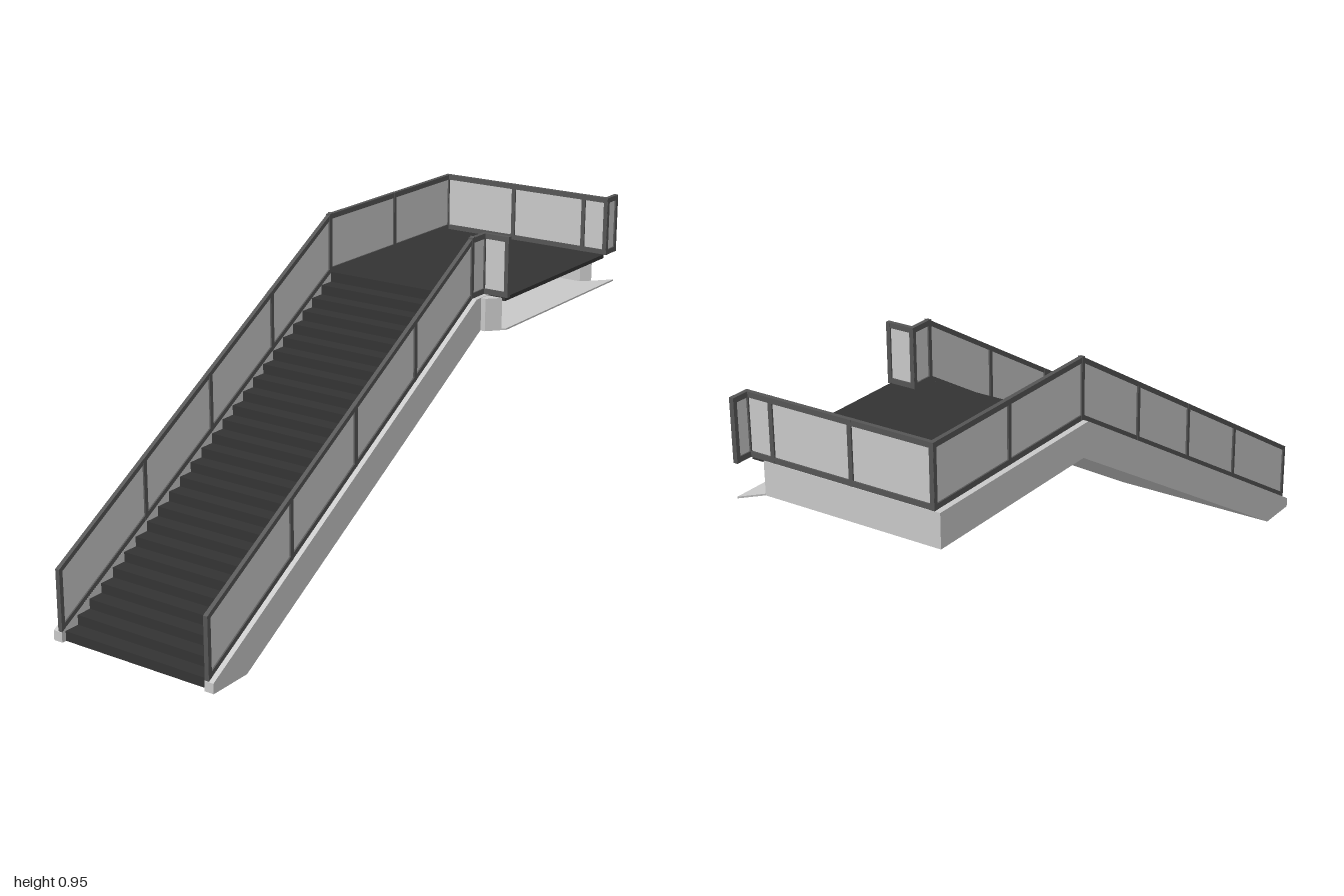
import * as THREE from 'three';

const mat = (name, color) => new THREE.MeshStandardMaterial({ name, color });

export function createModel() {
  const pale = mat('paleGrey', 0xc8c8c8);
  const frame = mat('frameGrey', 0x555555);
  const dark = mat('darkTread', 0x333333);
  const model = new THREE.Group();
  model.name = 'staircase';

  const add = (name, geometry, material, parent = model) => {
    const mesh = new THREE.Mesh(geometry, material);
    mesh.name = name;
    parent.add(mesh);
    return mesh;
  };
  const toShape = (pts) => new THREE.Shape(pts.map(([a, b]) => new THREE.Vector2(a, b)));

  // side profile (z, y) extruded from x0 to x1
  const across = (pts, x0, x1) =>
    new THREE.ExtrudeGeometry(toShape(pts), { depth: x1 - x0, bevelEnabled: false })
      .rotateY(-Math.PI / 2).translate(x1, 0, 0);

  // plan outline (x, z) extruded downwards from y
  const plate = (pts, y, t) =>
    new THREE.ExtrudeGeometry(toShape(pts), { depth: t, bevelEnabled: false })
      .rotateX(Math.PI / 2).translate(0, y, 0);

  // upright bar from a to b, sheared to follow the slope, from h0 to h1 above the line
  const bar = (a, b, h0, h1, width) => {
    const dx = b.x - a.x, dz = b.z - a.z, len = Math.hypot(dx, dz);
    const g = new THREE.BoxGeometry(len, h1 - h0, width);
    const p = g.attributes.position, slope = (b.y - a.y) / len;
    for (let i = 0; i < p.count; i++) p.setY(i, p.getY(i) + slope * p.getX(i));
    g.computeVertexNormals();
    return g.rotateY(Math.atan2(-dz, dx))
      .translate((a.x + b.x) / 2, (a.y + b.y) / 2 + (h0 + h1) / 2, (a.z + b.z) / 2);
  };

  // flight of steps: zigzag sheet, jagged on both faces
  const risers = 26, rise = 0.765 / risers, run = 1.245 / (risers - 1);
  const upper = [], lower = [];
  for (let i = 0; i < risers; i++) {
    const z = 0.985 - i * run;
    upper.push([z, i * rise], [z, (i + 1) * rise]);
    lower.push([z - 0.008, Math.max(0, i * rise - 0.008)], [z - 0.008, (i + 1) * rise - 0.008]);
  }
  add('steps', across([...upper, ...lower.reverse()], -0.285, 0.215), dark);

  // landing floor with a wider part opening to the side
  add('landingFloor', plate([
    [-0.285, -0.262], [0.217, -0.262], [0.217, -0.327], [0.302, -0.327],
    [0.302, -0.935], [-0.285, -0.935]], 0.766, 0.012), dark);

  // side stringers
  const stringer = (zEnd) => [
    [1, 0], [0.86, 0], [-0.285, 0.665], [zEnd, 0.665], [zEnd, 0.765], [-0.26, 0.765], [1, 0.03]];
  add('rightStringer', across(stringer(-0.945), -0.315, -0.285), pale);
  add('leftStringer', across(stringer(-0.325), 0.215, 0.245), pale);

  // landing fascias
  add('backFascia', plate([[-0.285, -0.945], [0.255, -0.945], [0.228, -0.918], [-0.285, -0.918]],
    0.764, 0.099), pale);
  add('frontFascia', plate([[0.245, -0.285], [0.26, -0.285], [0.295, -0.322], [0.245, -0.322]],
    0.764, 0.099), pale);

  // soffits, the landing one skewed at its open end
  add('slopedSoffit', across([[0.86, 0], [-0.285, 0.665], [-0.285, 0.671], [0.86, 0.006]],
    -0.285, 0.215), pale);
  add('landingSoffit', plate([
    [-0.315, -0.945], [0.255, -0.945], [0.305, -1], [0.305, -0.335],
    [0.26, -0.285], [-0.315, -0.285]], 0.669, 0.005), pale);

  // railings: each run has rails, a pane and posts at the given fractions
  const H = 0.185, T = 0.016, W = 0.013;
  const railing = (name, points, posts) => {
    const group = new THREE.Group();
    group.name = name;
    model.add(group);
    const path = points.map((p) => new THREE.Vector3(...p));
    for (let i = 0; i < path.length - 1; i++) {
      const a = path[i], b = path[i + 1];
      add('bottomRail', bar(a, b, 0, T, W), frame, group);
      add('topRail', bar(a, b, H - T, H, W), frame, group);
      add('pane', bar(a, b, T, H - T, 0.004), pale, group);
      const half = W / 2 / Math.hypot(b.x - a.x, b.z - a.z);
      for (const f of [0, ...posts[i], 1]) {
        const p = a.clone().lerp(b, f - half), q = a.clone().lerp(b, f + half);
        add('post', bar(p, q, 0, H, W + 0.001), frame, group);
      }
    }
  };
  const slopePosts = [0.286, 0.525, 0.761];
  railing('rightAndBackRailing', [
    [-0.291, 0.035, 0.993], [-0.291, 0.765, -0.26], [-0.291, 0.765, -0.938],
    [0.304, 0.765, -0.938], [0.304, 0.765, -0.993]],
  [slopePosts, [0.52], [0.43, 0.865], []]);
  railing('leftRailing', [
    [0.223, 0.035, 0.993], [0.223, 0.765, -0.26], [0.223, 0.765, -0.333],
    [0.304, 0.765, -0.333]],
  [slopePosts, [], []]);

  return model;
}
